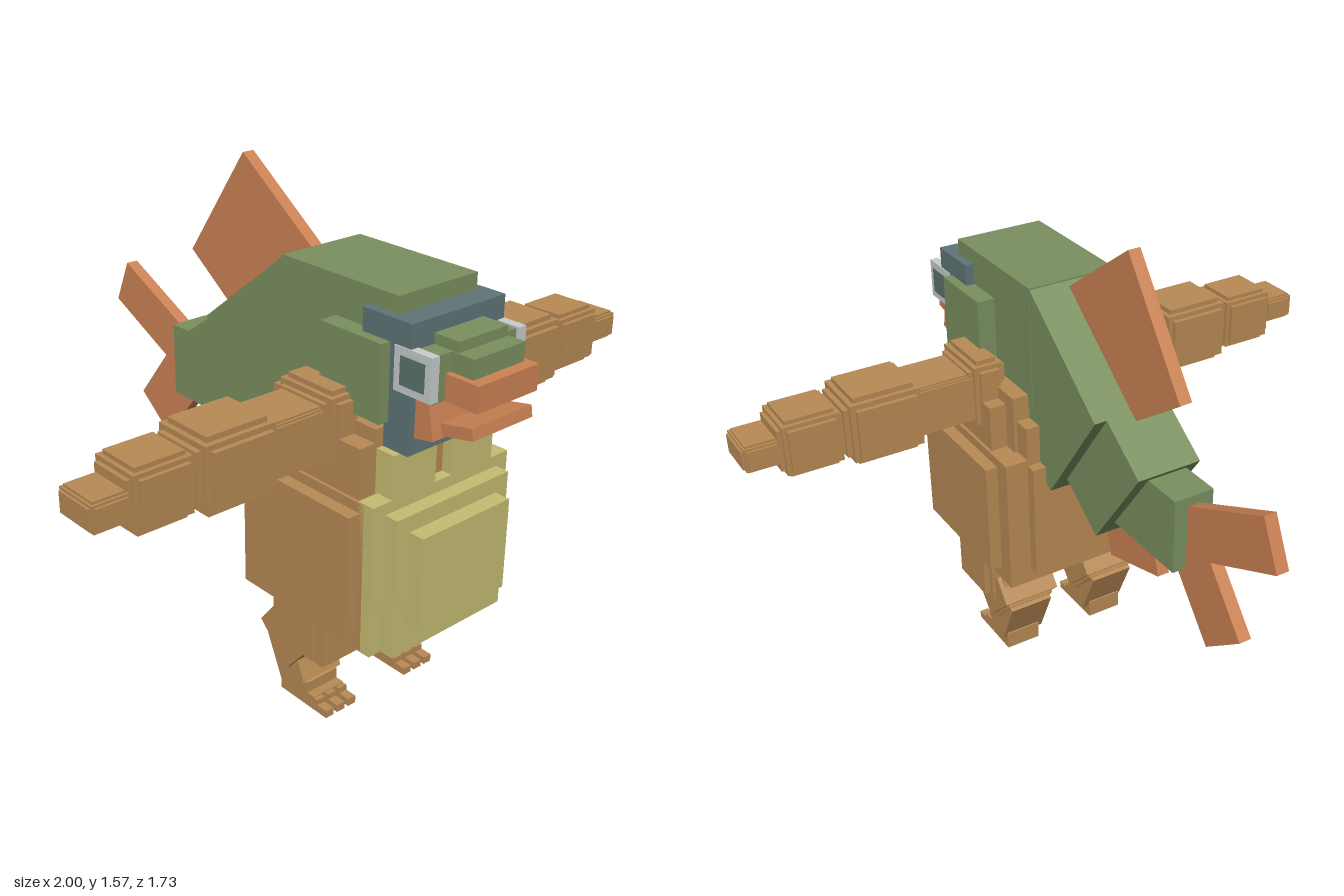
import * as THREE from 'three';

const mat = (name, color) => Object.assign(new THREE.MeshStandardMaterial({ color }), { name });

export function createModel() {
  const model = new THREE.Group();
  model.name = 'blockCreature';
  const brown = mat('brown fur', 0xb88a54);
  const yellow = mat('yellow belly', 0xc6bd72);
  const green = mat('green hood', 0x7a9060);
  const orange = mat('orange fin', 0xcc8354);
  const blue = mat('slate band', 0x5f7577);
  const pale = mat('pale eye frame', 0xc9cdcd);
  const teal = mat('teal eye', 0x5a756c);

  const add = (name, geometry, material, parent = model) => {
    const m = new THREE.Mesh(geometry, material);
    m.name = name;
    parent.add(m);
    return m;
  };
  // Box given by its limits on each axis
  const box = (name, material, x0, x1, y0, y1, z0, z1, parent) =>
    add(name, new THREE.BoxGeometry(x1 - x0, y1 - y0, z1 - z0)
      .translate((x0 + x1) / 2, (y0 + y1) / 2, (z0 + z1) / 2), material, parent);
  // Box centred on x = 0
  const mid = (name, material, w, y0, y1, z0, z1, parent) =>
    box(name, material, -w, w, y0, y1, z0, z1, parent);
  // Block with stepped edges: three boxes, each longest on one axis
  const stepped = (name, material, x0, x1, y0, y1, z0, z1, c, parent = model) => {
    const g = new THREE.Group();
    g.name = name;
    parent.add(g);
    const h = c / 2;
    [[0, c, c], [c, 0, c], [c, c, 0], [h, h, h]].forEach(([a, b, d]) =>
      box(name + 'Layer', material, x0 + a, x1 - a, y0 + b, y1 - b, z0 + d, z1 - d, g));
  };
  // Side profile of (z, y) points, given thickness from x0 to x1
  const slab = (name, material, x0, x1, points, parent) => {
    const shape = new THREE.Shape(points.map(([z, y]) => new THREE.Vector2(z, y)));
    const geo = new THREE.ExtrudeGeometry(shape, { depth: x1 - x0, bevelEnabled: false });
    geo.rotateY(-Math.PI / 2).translate(x1, 0, 0);
    return add(name, geo, material, parent);
  };

  // Torso
  mid('torsoSides', brown, 0.305, 0.4, 0.78, 0.19, 0.615);
  mid('torsoCore', brown, 0.265, 0.35, 0.81, 0.13, 0.63);
  mid('torsoBack', brown, 0.19, 0.4, 0.79, 0.095, 0.5);
  mid('torsoBottom', brown, 0.22, 0.305, 0.5, 0.19, 0.615);
  mid('chestBack', brown, 0.19, 0.75, 0.92, 0.13, 0.6);
  mid('chestTop', brown, 0.2, 0.75, 1.0, 0.19, 0.6);
  mid('chestSides', brown, 0.255, 0.75, 0.96, 0.24, 0.6);
  mid('throat', brown, 0.16, 0.75, 0.97, 0.5, 0.63);

  // Layered belly
  mid('bellyBase', yellow, 0.265, 0.35, 0.815, 0.61, 0.665);
  mid('bellyMiddle', yellow, 0.22, 0.35, 0.78, 0.65, 0.71);
  mid('bellyFront', yellow, 0.172, 0.445, 0.73, 0.7, 0.76);

  // Hood and cheeks
  mid('hood', green, 0.147, 0.95, 1.36, 0.165, 0.615);
  mid('cheeks', green, 0.205, 1.02, 1.245, 0.385, 0.615);
  mid('browBand', blue, 0.175, 1.245, 1.312, 0.515, 0.69);
  mid('faceBand', blue, 0.172, 0.945, 1.3, 0.6, 0.69);

  // Muzzle and beak
  mid('muzzleBase', green, 0.16, 1.11, 1.24, 0.68, 0.755);
  mid('muzzleRidge', green, 0.092, 1.18, 1.27, 0.68, 0.775);
  mid('muzzleTip', green, 0.096, 1.185, 1.24, 0.74, 0.83);
  mid('upperBeak', orange, 0.115, 1.11, 1.185, 0.7, 0.865);
  slab('jawHinge', orange, -0.15, 0.15,
    [[0.68, 0.99], [0.755, 1.005], [0.735, 1.11], [0.68, 1.11]]);
  slab('lowerBeak', orange, -0.115, 0.115,
    [[0.7, 1.0], [0.858, 1.033], [0.852, 1.066], [0.7, 1.035]]);

  // Tail, narrowing in three segments
  slab('tailBase', green, -0.145, 0.145,
    [[0.165, 1.355], [-0.19, 1.08], [0.07, 0.717], [0.42, 0.975]]);
  slab('tailMiddle', green, -0.105, 0.105,
    [[-0.14, 1.115], [-0.355, 0.965], [-0.13, 0.65], [0.08, 0.795]]);
  slab('tailEnd', green, -0.065, 0.065,
    [[-0.15, 0.95], [-0.475, 0.95], [-0.475, 0.71], [-0.15, 0.71]]);

  // Fins
  const fins = {
    backFin: [[0.155, 1.34], [-0.16, 1.565], [-0.42, 1.21], [-0.1, 0.985]],
    lowerFin: [[0.0, 0.8], [-0.085, 0.52], [-0.34, 0.595], [-0.26, 0.88]],
    upperTailFin: [[-0.4, 0.885], [-0.795, 1.07], [-0.862, 0.925], [-0.465, 0.74]],
    lowerTailFin: [[-0.34, 0.62 + 0.18], [-0.587, 0.5], [-0.735, 0.615], [-0.49, 0.915]],
  };
  for (const [name, points] of Object.entries(fins)) slab(name, orange, -0.02, 0.02, points);

  for (const s of [1, -1]) {
    const side = s > 0 ? 'left' : 'right';
    const g = new THREE.Group();
    g.name = side + 'Side';
    model.add(g);
    const span = (a, b) => (s > 0 ? [a, b] : [-b, -a]);

    // Upper chest bib
    box('bib', yellow, ...span(0.032, 0.195), 0.8, 0.945, 0.6, 0.665, g);

    // Eye: frame with a thin inset pane
    box('eyeFrame', pale, ...span(0.15, 0.178), 1.12, 1.245, 0.635, 0.765, g);
    box('eyePane', teal, ...span(0.177, 0.181), 1.142, 1.222, 0.658, 0.743, g);

    // Arm segments: x start, x end, y low, y high, z back, z front, step
    [
      ['shoulder', 0.16, 0.285, 0.86, 1.088, 0.285, 0.52, 0.03],
      ['upperArm', 0.25, 0.46, 0.885, 1.05, 0.31, 0.49, 0.012],
      ['forearm', 0.435, 0.692, 0.855, 1.078, 0.285, 0.51, 0.032],
      ['wrist', 0.69, 0.892, 0.872, 1.058, 0.305, 0.492, 0.026],
      ['hand', 0.88, 1.0, 0.92, 1.008, 0.325, 0.478, 0.014],
    ].forEach(([name, a, b, y0, y1, z0, z1, c]) =>
      stepped(name, brown, ...span(a, b), y0, y1, z0, z1, c, g));

    // Leg: thigh, bent shank, stepped foot
    box('thighOuter', brown, ...span(0.038, 0.285), 0.235, 0.4, 0.285, 0.455, g);
    box('thigh', brown, ...span(0.06, 0.265), 0.215, 0.4, 0.265, 0.48, g);
    box('thighEnd', brown, ...span(0.075, 0.245), 0.195, 0.3, 0.285, 0.455, g);
    slab('knee', brown, ...span(0.06, 0.255),
      [[0.385, 0.205], [0.25, 0.31], [0.19, 0.235], [0.31, 0.12]], g);
    slab('kneeSides', brown, ...span(0.075, 0.24),
      [[0.37, 0.2], [0.24, 0.32], [0.2, 0.21], [0.3, 0.105]], g);
    slab('shin', brown, ...span(0.085, 0.235),
      [[0.3, 0.24], [0.19, 0.2], [0.265, 0.035], [0.365, 0.08]], g);
    slab('foot', brown, ...span(0.105, 0.225),
      [[0.25, 0], [0.25, 0.06], [0.33, 0.1], [0.37, 0.08], [0.37, 0.045],
        [0.4, 0.045], [0.4, 0]], g);
    for (let i = 0; i < 3; i++) {
      const a = 0.105 + i * 0.045;
      box('toe', brown, ...span(a, a + 0.03), 0, 0.042, 0.38, 0.415, g);
      box('toeTip', brown, ...span(a, a + 0.03), 0, 0.024, 0.38, 0.455, g);
    }
  }
  return model;
}
